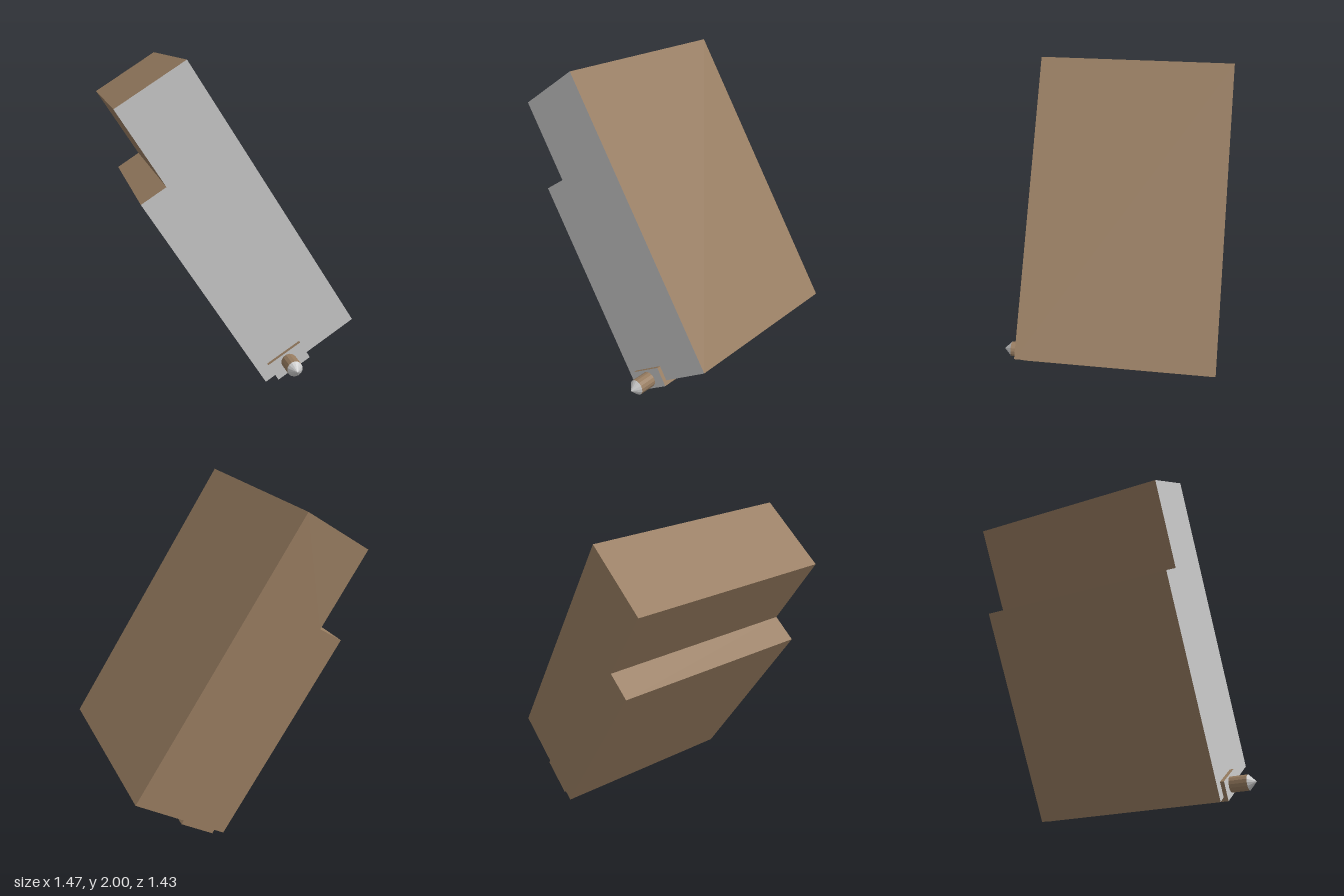
import * as THREE from 'three';

const brown = new THREE.MeshStandardMaterial({ color: 0x977c60, flatShading: true });
const grey = new THREE.MeshStandardMaterial({ color: 0xcccccc, flatShading: true });

// Prism along z: brown sides and back, grey front face
function prism(name, points, back, front) {
  const shape = new THREE.Shape(points.map(([x, y]) => new THREE.Vector2(x, y)));
  const geo = new THREE.ExtrudeGeometry(shape, { depth: front - back, bevelEnabled: false });
  const [caps, sides] = geo.groups.map((g) => ({ ...g }));
  geo.clearGroups();
  geo.addGroup(0, caps.count / 2, 0); // back cap
  geo.addGroup(caps.count / 2, caps.count / 2, 1); // front cap
  geo.addGroup(sides.start, sides.count, 0);
  geo.translate(0, 0, back);
  const mesh = new THREE.Mesh(geo, [brown, grey]);
  mesh.name = name;
  return mesh;
}

export function createModel() {
  const model = new THREE.Group();
  model.name = 'tiltedBlock';

  // Leaning body with a stepped side
  model.add(prism('body', [
    [0.165, 0], [0.73, 0.37], [-0.32, 2], [-0.735, 1.735],
    [-0.447, 1.284], [-0.597, 1.187],
  ], -0.72, 0.52));

  // Rail set into the lower face, running the full depth
  model.add(prism('rail', [
    [0.24, 0.018], [0.444, 0.15], [0.378, 0.256], [0.172, 0.124],
  ], -0.72, 0.545));

  // Pin with a pointed tip on the front of the rail
  const pin = new THREE.Group();
  pin.name = 'pin';
  pin.position.set(0.307, 0.137, 0.545);
  pin.rotation.x = Math.PI / 2;
  const shaft = new THREE.Mesh(new THREE.CylinderGeometry(0.05, 0.05, 0.115, 14), brown);
  shaft.name = 'pinShaft';
  shaft.position.y = 0.0575;
  const tip = new THREE.Mesh(new THREE.ConeGeometry(0.05, 0.05, 14), grey);
  tip.name = 'pinTip';
  tip.position.y = 0.14;
  pin.add(shaft, tip);
  model.add(pin);

  return model;
}
